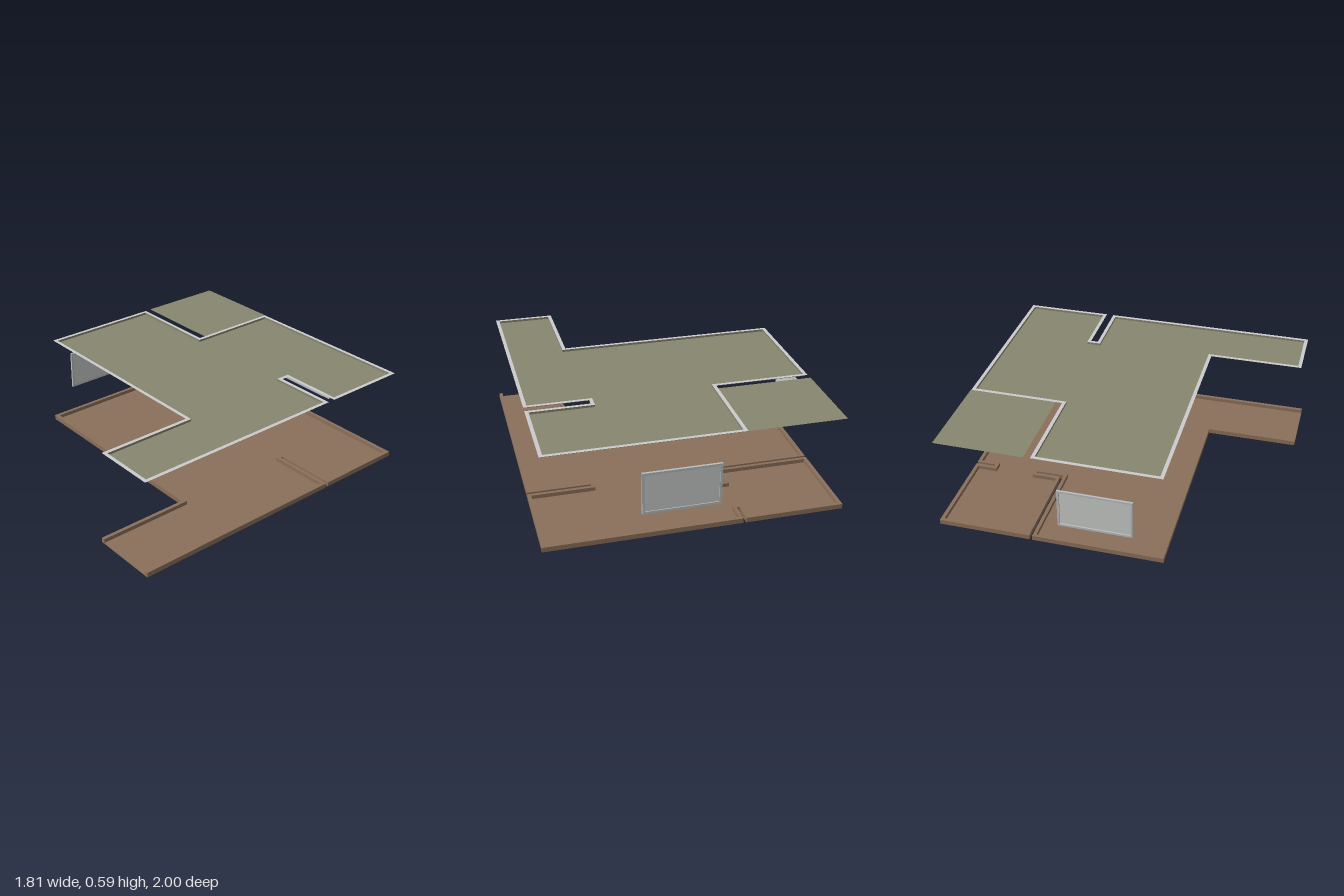
import * as THREE from 'three';

const mat = (name, color, side = THREE.FrontSide) => {
  const m = new THREE.MeshStandardMaterial({ color, side });
  m.name = name;
  return m;
};

// Shift each corner of a right-angled path inwards; open paths keep their ends square.
function inset(pts, w, closed) {
  const n = pts.length;
  const normal = (a, b) => {
    const dx = b[0] - a[0], dz = b[1] - a[1], l = Math.hypot(dx, dz);
    return [dz / l, -dx / l];
  };
  return pts.map((p, i) => {
    const out = [p[0], p[1]];
    if (closed || i > 0) {
      const k = normal(pts[(i + n - 1) % n], p);
      out[0] += k[0] * w; out[1] += k[1] * w;
    }
    if (closed || i < n - 1) {
      const k = normal(p, pts[(i + 1) % n]);
      out[0] += k[0] * w; out[1] += k[1] * w;
    }
    return out;
  });
}

const toVecs = pts => pts.map(([x, z]) => new THREE.Vector2(x, z));
const toShape = pts => new THREE.Shape(toVecs(pts));

// Plan outlines are drawn in x and z, then laid flat.
const slab = (shape, y0, y1) =>
  new THREE.ExtrudeGeometry(shape, { depth: y1 - y0, bevelEnabled: false })
    .rotateX(Math.PI / 2).translate(0, y1, 0);
const sheet = (shape, y) =>
  new THREE.ShapeGeometry(shape).rotateX(Math.PI / 2).translate(0, y, 0);

export function createModel() {
  const model = new THREE.Group();
  const wood = mat('brown floor', 0x8b705a);
  const olive = mat('olive ceiling', 0x87866f, THREE.DoubleSide);
  const pale = mat('pale ceiling border', 0xcbcbcd, THREE.DoubleSide);
  const frameMat = mat('grey window frame', 0xbabec0);
  const glass = mat('light window glass', 0xc8cbc9);

  const add = (parent, name, geometry, material) => {
    const m = new THREE.Mesh(geometry, material);
    m.name = name;
    parent.add(m);
    return m;
  };

  // Floor plan with narrow gaps where the inner walls stand
  const plan = [
    [0.905, 1], [0.905, -0.38], [0.515, -0.38], [0.515, -0.397], [0.905, -0.397],
    [0.905, -0.967], [-0.26, -0.967], [-0.26, -0.845], [-0.277, -0.845], [-0.277, -0.967],
    [-0.87, -0.967], [-0.87, -0.397], [-0.277, -0.397], [-0.277, -0.555], [-0.26, -0.555],
    [-0.26, -0.38], [-0.87, -0.38], [-0.87, 0.42], [0.49, 0.42], [0.49, 1],
  ];
  add(model, 'floor', slab(toShape(plan), 0, 0.006), wood);

  // Skirting follows the walls and leaves the front entrance open
  const skirt = [...plan, ...inset(plan, 0.022, false).reverse()];
  add(model, 'skirting', slab(toShape(skirt), 0.006, 0.03), wood);

  // Main ceiling: sunken panel, upright edge and pale border
  const low = 0.578, high = 0.592;
  const outer = [
    [0.89, 0.99], [0.89, -0.365], [0.505, -0.365], [0.505, -0.41], [0.89, -0.41],
    [0.89, -0.954], [-0.27, -0.954], [-0.27, -0.365], [-0.855, -0.365],
    [-0.855, 0.405], [0.51, 0.405], [0.51, 0.99],
  ];
  const inner = inset(outer, 0.022, true);
  add(model, 'ceilingPanel', sheet(toShape(inner), low), olive);
  const border = toShape(outer);
  border.holes.push(new THREE.Path(toVecs(inner)));
  add(model, 'ceilingBorder', sheet(border, high), pale);

  const edge = new THREE.Group();
  edge.name = 'ceilingEdge';
  inner.forEach((a, i) => {
    const b = inner[(i + 1) % inner.length];
    const dx = b[0] - a[0], dz = b[1] - a[1];
    const g = new THREE.PlaneGeometry(Math.hypot(dx, dz), high - low)
      .rotateY(Math.atan2(-dz, dx))
      .translate((a[0] + b[0]) / 2, (low + high) / 2, (a[1] + b[1]) / 2);
    add(edge, 'ceilingEdgeSide', g, olive);
  });
  model.add(edge);

  // Plain ceiling of the small back room
  const room = [[-0.27, -0.405], [-0.27, -0.957], [-0.858, -0.957], [-0.858, -0.405]];
  add(model, 'smallRoomCeiling', sheet(toShape(room), high), olive);

  // Windows: a frame around a thin pane, built facing +z
  function windowUnit(name, w, h, depth, border, paneZ) {
    const g = new THREE.Group();
    g.name = name;
    const rect = (a, b) => [[-a, -b], [a, -b], [a, b], [-a, b]];
    const s = toShape(rect(w / 2, h / 2));
    s.holes.push(new THREE.Path(toVecs(rect(w / 2 - border, h / 2 - border))));
    const frame = new THREE.ExtrudeGeometry(s, { depth, bevelEnabled: false });
    add(g, 'windowFrame', frame.translate(0, 0, -depth / 2), frameMat);
    const pane = new THREE.BoxGeometry(w - 2 * border, h - 2 * border, 0.004);
    add(g, 'windowPane', pane.translate(0, 0, paneZ), glass);
    model.add(g);
    return g;
  }
  windowUnit('backWindow', 0.46, 0.26, 0.015, 0.015, 0).position.set(0.115, 0.305, -0.9925);
  const side = windowUnit('sideWindow', 0.447, 0.25, 0.013, 0.013, 0.0045);
  side.position.set(-0.9, 0.305, 0.022);
  side.rotation.y = Math.PI / 2;

  return model;
}
